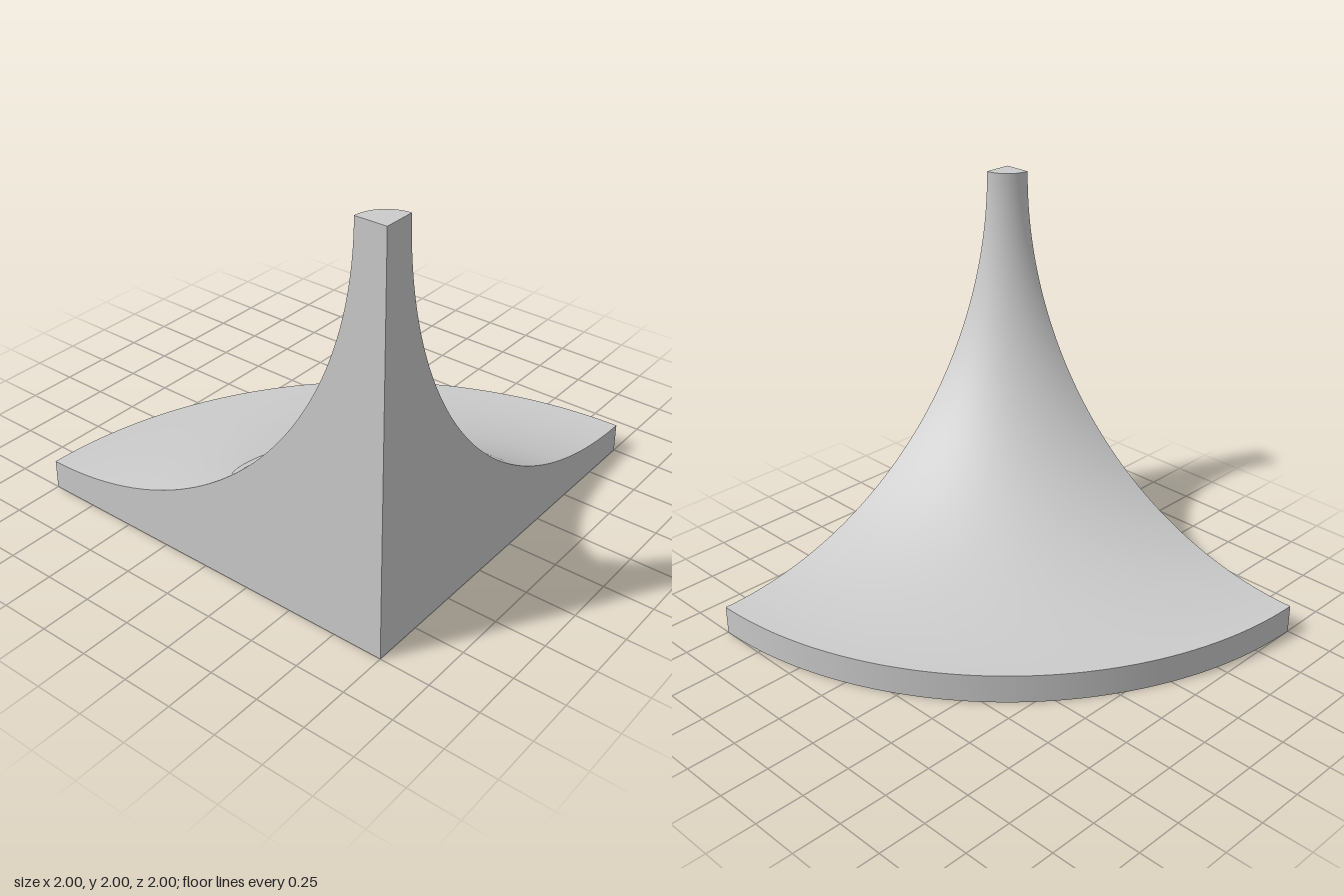
import * as THREE from 'three';

const SIZE = 2, EDGE = 0.15, SEGMENTS = 64;

export function createModel() {
  const group = new THREE.Group();
  group.name = 'quarterFlare';
  const material = new THREE.MeshStandardMaterial({ color: 0xcccccc });

  // every part is measured from the vertical axis at the corner
  const add = (name, geometry) => {
    const mesh = new THREE.Mesh(geometry, material);
    mesh.name = name;
    mesh.position.set(-1, 0, 1);
    group.add(mesh);
    return mesh;
  };
  const quarterLathe = (name, points) =>
    add(name, new THREE.LatheGeometry(points, SEGMENTS, Math.PI / 2, Math.PI / 2));
  const v = (x, y) => new THREE.Vector2(x, y);

  // concave quarter arc from the thin rim up to the narrow tip
  const arc = [];
  for (let i = 0; i <= SEGMENTS; i++) {
    const a = (i / SEGMENTS) * Math.PI / 2;
    arc.push(v(SIZE - (SIZE - EDGE) * Math.sin(a), SIZE - (SIZE - EDGE) * Math.cos(a)));
  }

  // revolved surfaces, kept separate so their shared edges stay sharp
  quarterLathe('base', [v(0, 0), v(SIZE, 0)]);
  quarterLathe('rim', [v(SIZE, 0), v(SIZE, EDGE)]);
  quarterLathe('concaveSweep', arc);
  quarterLathe('tip', [v(EDGE, SIZE), v(0, SIZE)]);

  // flat walls closing the two cut sides
  const outline = [v(0, 0), v(SIZE, 0), ...arc, v(0, SIZE)];
  add('frontWall', new THREE.ShapeGeometry(new THREE.Shape(outline)));
  const mirrored = outline.map((p) => v(-p.x, p.y)).reverse();
  const sideWall = add('sideWall', new THREE.ShapeGeometry(new THREE.Shape(mirrored)));
  sideWall.rotation.y = -Math.PI / 2;

  return group;
}
